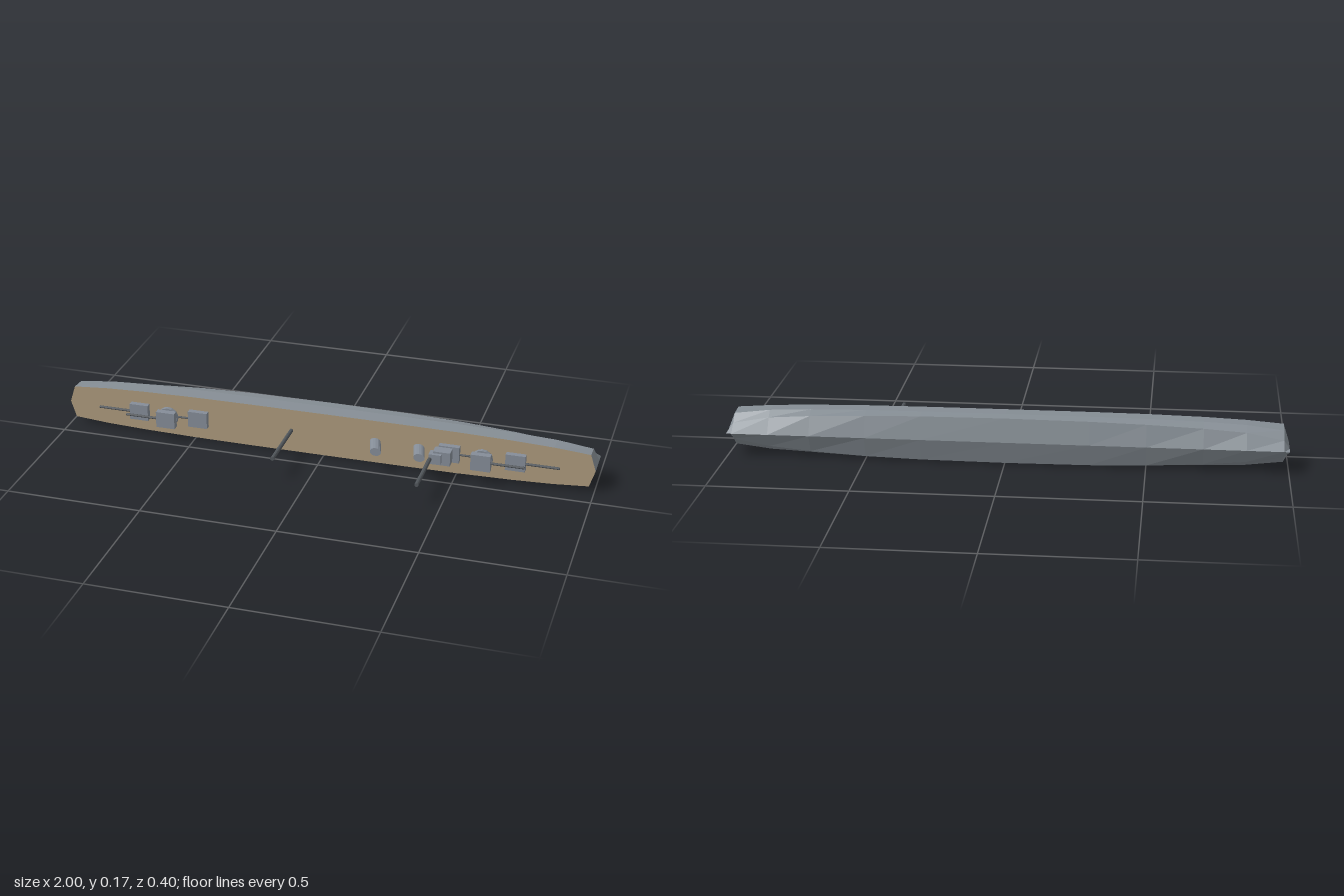
import * as THREE from 'three';

const CY = 0.0875, DECK = -0.075;
const paint = (color) => new THREE.MeshStandardMaterial({ color, flatShading: true });

export function createModel() {
  const group = new THREE.Group();
  const hullMat = paint(0x858d94), deckMat = paint(0xac9a7c);
  const steel = paint(0x858d98), dark = paint(0x50555a);

  const add = (name, geo, mat, x = 0, y = CY, z = 0) => {
    const mesh = new THREE.Mesh(geo, mat);
    mesh.name = name;
    mesh.position.set(x, y, z);
    group.add(mesh);
    return mesh;
  };
  // Box spanning x0..x1 and z0..z1, centred on the keel line
  const box = (name, x0, x1, half, z0, z1) =>
    add(name, new THREE.BoxGeometry(x1 - x0, half * 2, z1 - z0), steel, (x0 + x1) / 2, CY, (z0 + z1) / 2);
  // Upright cylinder from the deck outwards along z
  const post = (name, x, r, z0, z1, mat, sides = 12) =>
    add(name, new THREE.CylinderGeometry(r, r, z1 - z0, sides).rotateX(Math.PI / 2), mat, x, CY, (z0 + z1) / 2);

  // Hull sections: x, deck half width, side half width, bilge half width, bilge z
  const half = [
    [0, 0.0845, 0.0865, 0.083, -0.176], [0.3, 0.0842, 0.0862, 0.081, -0.176],
    [0.5, 0.083, 0.085, 0.076, -0.174], [0.7, 0.079, 0.081, 0.066, -0.168],
    [0.85, 0.073, 0.074, 0.054, -0.162], [0.98, 0.063, 0.058, 0.03, -0.163],
    [1, 0, 0, 0, -0.163],
  ];
  const sections = [...half.slice(1).reverse().map(([x, ...s]) => [-x, ...s]), ...half];
  const rings = sections.map(([x, d, w, b, bz]) => {
    const side = [[b, bz], [w, -0.135], [d, DECK]];
    const mirrored = side.map(([y, z]) => [-y, z]).reverse();
    return [[0, -0.198], ...side, ...mirrored].map(([y, z]) => [x, y, z]);
  });
  const hullPos = [], deckPos = [];
  for (let i = 0; i < rings.length - 1; i++) {
    for (let j = 0; j < 7; j++) {
      const k = (j + 1) % 7;
      const [a, b, c, d] = [rings[i][j], rings[i][k], rings[i + 1][j], rings[i + 1][k]];
      (j === 3 ? deckPos : hullPos).push(...a, ...b, ...c, ...b, ...d, ...c);
    }
  }
  for (const [name, pos, mat] of [['hull', hullPos, hullMat], ['deck', deckPos, deckMat]]) {
    const geo = new THREE.BufferGeometry();
    geo.setAttribute('position', new THREE.Float32BufferAttribute(pos, 3));
    geo.computeVertexNormals();
    add(name, geo, mat);
  }

  // Gun turrets: low outer ones and raised inner ones on a round base
  for (const s of [-1, 1]) {
    const turret = (name, x, z0, z1, tip, gunZ) => {
      box(name, s * x - 0.036, s * x + 0.036, 0.031, z0, z1);
      add(name + 'Gun', new THREE.CylinderGeometry(0.005, 0.005, tip - x, 8).rotateZ(Math.PI / 2),
        dark, s * (x + tip) / 2, CY, gunZ);
    };
    turret('lowTurret', 0.716, DECK, -0.054, 0.875, -0.06);
    turret('raisedTurret', 0.597, -0.043, -0.018, 0.755, -0.029);
    post('turretBase', s * 0.597, 0.0385, -0.057, -0.042, steel, 16);
    // Guns of the raised turrets run back over the deck house
    add('innerSpar', new THREE.CylinderGeometry(0.004, 0.004, 0.1, 8).rotateZ(Math.PI / 2),
      dark, s * 0.545, CY, -0.062);
  }

  // Aft deck house and stepped bridge
  box('aftHouse', -0.52, -0.446, 0.031, DECK, -0.054);
  box('bridgeLower', 0.436, 0.512, 0.031, DECK, -0.054);
  box('bridgeMiddle', 0.425, 0.488, 0.026, -0.054, -0.013);
  box('bridgeTop', 0.412, 0.457, 0.019, -0.035, 0);

  // Raked funnels: cylinders sheared along x
  for (const [x0, x1] of [[0.195, 0.217], [0.358, 0.378]]) {
    const z0 = DECK - 0.005, h = 0.082;
    const geo = new THREE.CylinderGeometry(0.021, 0.021, h, 14).rotateX(Math.PI / 2).scale(1, 0.75, 1);
    const p = geo.attributes.position;
    for (let i = 0; i < p.count; i++) p.setX(i, p.getX(i) + (p.getZ(i) / h) * (x1 - x0));
    geo.computeVertexNormals();
    add('funnel', geo, steel, (x0 + x1) / 2, CY, z0 + h / 2);
  }

  // Masts
  post('aftMast', -0.123, 0.0075, DECK, 0.158, dark, 10);
  post('foreMast', 0.417, 0.0075, -0.035, 0.2, dark, 10);

  return group;
}
